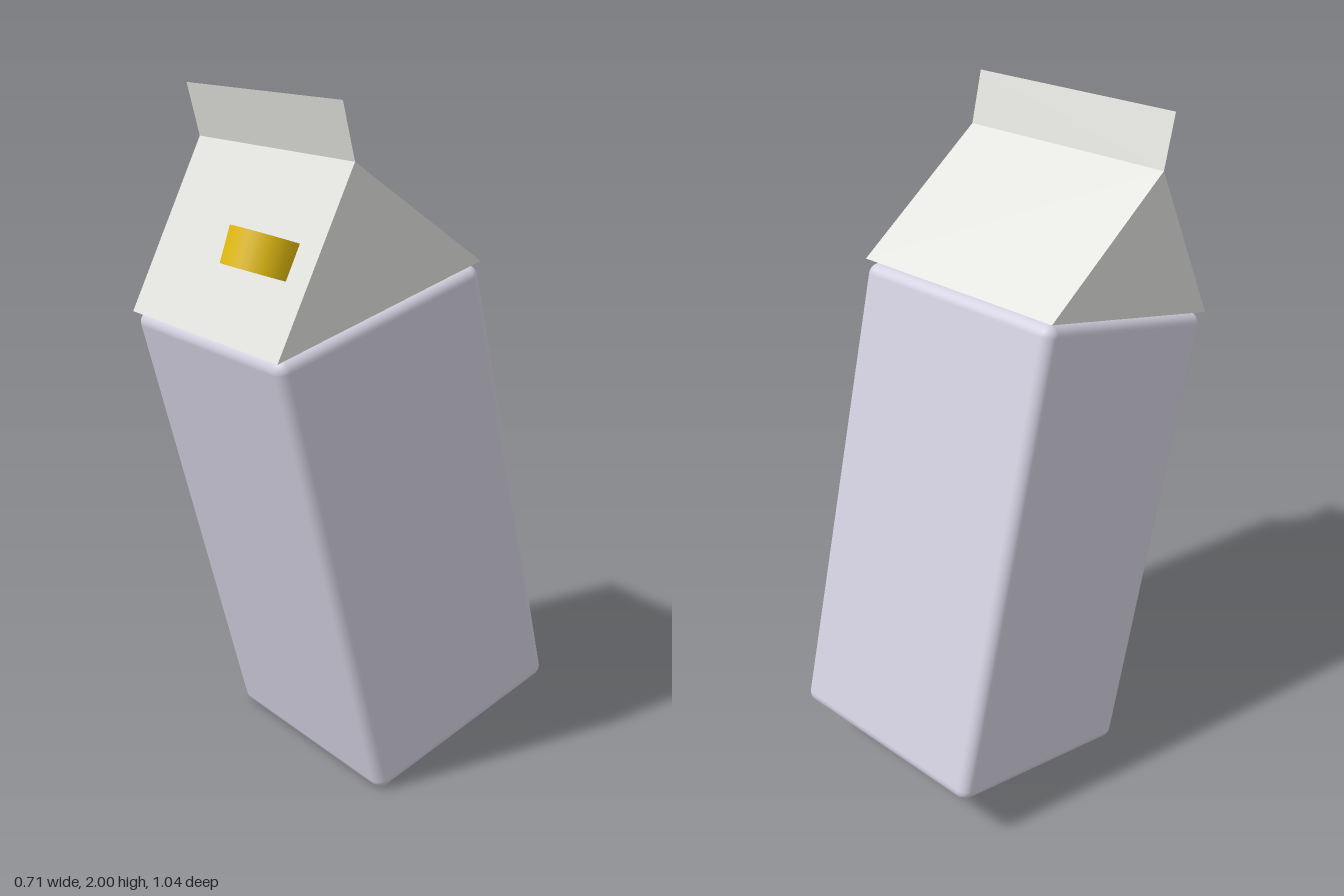
import * as THREE from 'three';
import { RoundedBoxGeometry } from 'three/addons/geometries/RoundedBoxGeometry.js';

const WIDTH = 0.706;   // square footprint
const BODY = 1.422;    // body height
const EAVE = 1.427;    // underside of the gable
const RIDGE = 1.829;   // top of the gable
const FIN = 0.155;     // height of the sealed fin

const mat = (name, color, side = THREE.FrontSide) => {
  const m = new THREE.MeshStandardMaterial({ color, side });
  m.name = name;
  return m;
};

export function createModel() {
  const model = new THREE.Group();
  model.name = 'carton';

  const lilac = mat('lilacGrey', 0xd4d2e1);
  const white = mat('offWhite', 0xe3e3df, THREE.DoubleSide);
  const yellow = mat('yellow', 0xe1ba10);

  // The whole carton leans forward on its front bottom edge
  const carton = new THREE.Group();
  carton.name = 'tiltedCarton';
  carton.position.set(0, 0.077, -0.184);
  carton.rotation.x = THREE.MathUtils.degToRad(14.04);
  model.add(carton);

  const add = (name, geometry, material, x, y, z) => {
    const mesh = new THREE.Mesh(geometry, material);
    mesh.name = name;
    mesh.position.set(x, y, z);
    carton.add(mesh);
    return mesh;
  };

  // Rounded body
  add('body', new RoundedBoxGeometry(WIDTH, BODY, WIDTH, 4, 0.035), lilac, 0, BODY / 2, 0);

  // Gable: triangular prism with its ridge along x
  const gable = new THREE.Shape([
    new THREE.Vector2(-WIDTH / 2, 0),
    new THREE.Vector2(WIDTH / 2, 0),
    new THREE.Vector2(0, RIDGE - EAVE),
  ]);
  const prism = new THREE.ExtrudeGeometry(gable, { depth: WIDTH, bevelEnabled: false });
  prism.translate(0, 0, -WIDTH / 2).rotateY(Math.PI / 2);
  add('gableTop', prism, white, 0, EAVE, 0);

  // Paper-thin sealed fin standing on the ridge
  add('fin', new THREE.PlaneGeometry(WIDTH, FIN), white, 0, RIDGE + FIN / 2, 0);

  // Screw cap, half sunk into the front slope
  const cap = add('cap', new THREE.CylinderGeometry(0.107, 0.107, 0.101, 32), yellow, 0.158, 1.624, 0.194);
  cap.rotation.x = THREE.MathUtils.degToRad(-34);

  return model;
}
